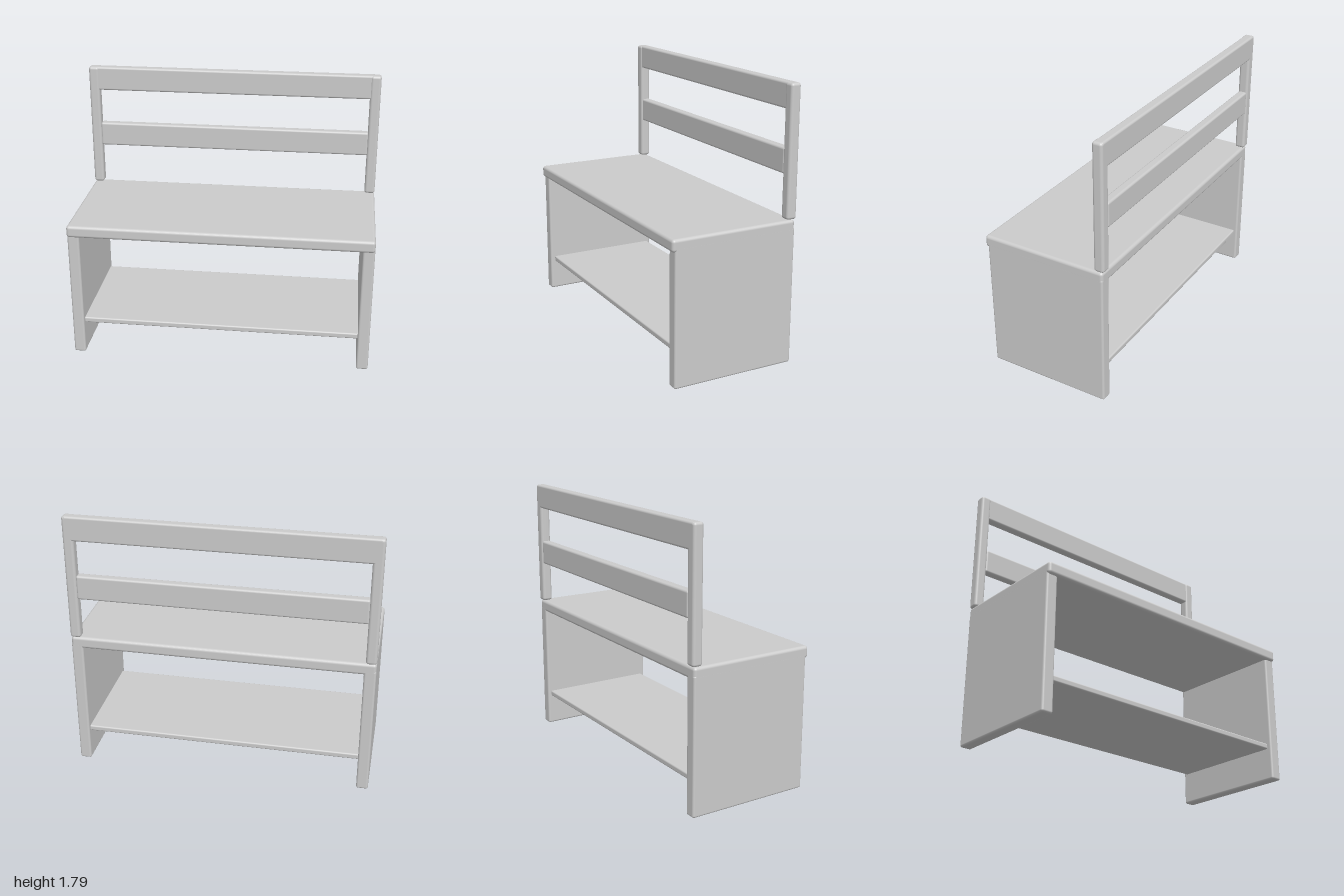
import * as THREE from 'three';
import { RoundedBoxGeometry } from 'three/addons/geometries/RoundedBoxGeometry.js';

const material = new THREE.MeshStandardMaterial({ color: 0xcccccc });

// Softly rounded board given by its extents on each axis
function board(name, [x0, x1], [y0, y1], [z0, z1], radius = 0.014) {
  const geometry = new RoundedBoxGeometry(x1 - x0, y1 - y0, z1 - z0, 4, radius);
  const mesh = new THREE.Mesh(geometry, material);
  mesh.name = name;
  mesh.position.set((x0 + x1) / 2, (y0 + y1) / 2, (z0 + z1) / 2);
  return mesh;
}

export function createModel() {
  const bench = new THREE.Group();
  bench.name = 'bench';

  // Seat with a small front overhang, and the shelf beneath it
  bench.add(board('seat', [-1, 1], [0.868, 0.948], [-0.424, 0.434], 0.02));
  bench.add(board('shelf', [-0.928, 0.928], [0.214, 0.252], [-0.4, 0.385], 0.01));

  // Side panels and backrest posts, mirrored
  for (const side of [-1, 1]) {
    const span = (a, b) => (side > 0 ? [a, b] : [-b, -a]);
    const prefix = side > 0 ? 'left' : 'right';
    bench.add(board(prefix + 'SidePanel', span(0.922, 1), [0, 0.9], [-0.424, 0.416]));
    bench.add(board(prefix + 'BackPost', span(0.93, 1), [0.95, 1.793], [-0.434, -0.364], 0.018));
  }

  // Backrest rails
  bench.add(board('topRail', [-0.99, 0.99], [1.63, 1.793], [-0.434, -0.37]));
  bench.add(board('middleRail', [-0.934, 0.934], [1.228, 1.392], [-0.43, -0.37]));

  return bench;
}
